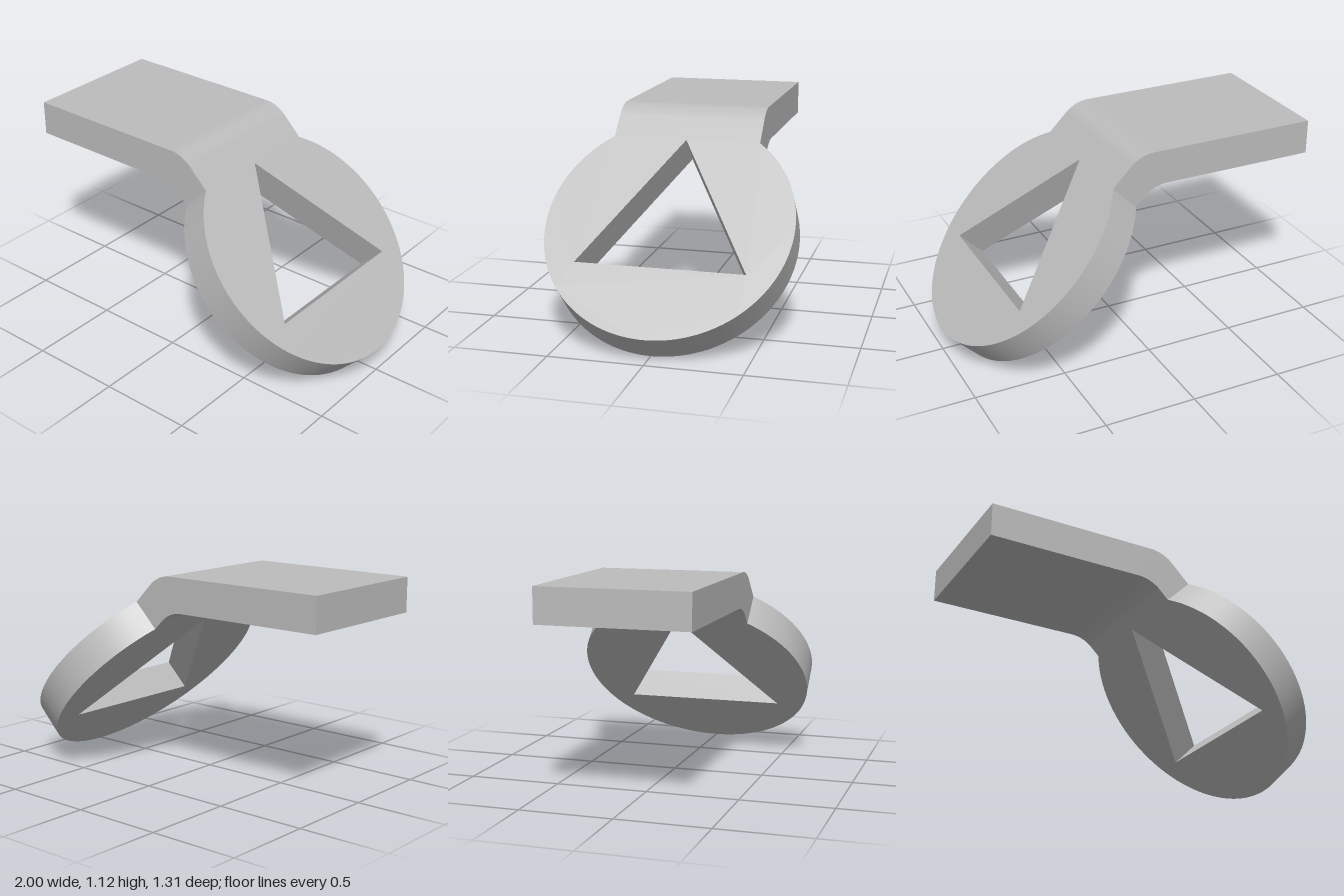
import * as THREE from 'three';
import { toCreasedNormals } from 'three/addons/utils/BufferGeometryUtils.js';

const T = 0.187;            // sheet thickness
const TOP = 1.12;           // height of the flat strap's upper face
const R = 0.656;            // disc radius
const HALF = 0.4;           // half the strap width
const BEND = 0.187;         // bend radius, inside and outside
const S = Math.SQRT1_2;
const CX = 1 - R * S, CY = 0.132 + R * S;       // disc centre on the upper face
const CHORD = Math.sqrt(R * R - HALF * HALF);   // distance from centre to the strap joint

function extrude(shape, depth) {
  const geo = new THREE.ExtrudeGeometry(shape, { depth, bevelEnabled: false, curveSegments: 96 });
  return toCreasedNormals(geo, 0.5);
}

export function createModel() {
  const group = new THREE.Group();
  const grey = new THREE.MeshStandardMaterial({ color: 0xbcbcbc });
  grey.name = 'grey metal';

  // Bent strap: side profile swept across its width
  const jx = CX - CHORD * S, jy = CY + CHORD * S;
  const tan = BEND * Math.tan(Math.PI / 8);
  const outerX = CX + CY - TOP - tan;
  const innerX = CX + CY - T * Math.SQRT2 - (TOP - T) - tan;
  const profile = new THREE.Shape();
  profile.moveTo(-1, TOP - T);
  profile.lineTo(innerX, TOP - T);
  profile.absarc(innerX, TOP - T - BEND, BEND, Math.PI / 2, Math.PI / 4, true);
  profile.lineTo(jx - T * S, jy - T * S);
  profile.lineTo(jx, jy);
  profile.absarc(outerX, TOP - BEND, BEND, Math.PI / 4, Math.PI / 2, false);
  profile.lineTo(-1, TOP);
  profile.closePath();
  const strap = new THREE.Mesh(extrude(profile, HALF * 2), grey);
  strap.name = 'bentStrap';
  strap.position.z = -HALF;
  group.add(strap);

  // Sloping disc, cut flat where it meets the strap, with a triangular hole
  const end = Math.PI - Math.asin(HALF / R);
  const outline = new THREE.Shape();
  outline.absarc(0, 0, R, -end, end, false);
  outline.closePath();
  const r = 0.518;
  const corners = [Math.PI, Math.PI / 3, -Math.PI / 3].map(
    (a) => new THREE.Vector2(r * Math.cos(a), r * Math.sin(a)));
  outline.holes.push(new THREE.Path(corners));
  const disc = new THREE.Mesh(extrude(outline, T), grey);
  disc.name = 'slopedDisc';
  disc.quaternion.setFromRotationMatrix(new THREE.Matrix4().makeBasis(
    new THREE.Vector3(S, -S, 0), new THREE.Vector3(0, 0, -1), new THREE.Vector3(S, S, 0)));
  disc.position.set(CX - T * S, CY - T * S, 0);
  group.add(disc);

  return group;
}
